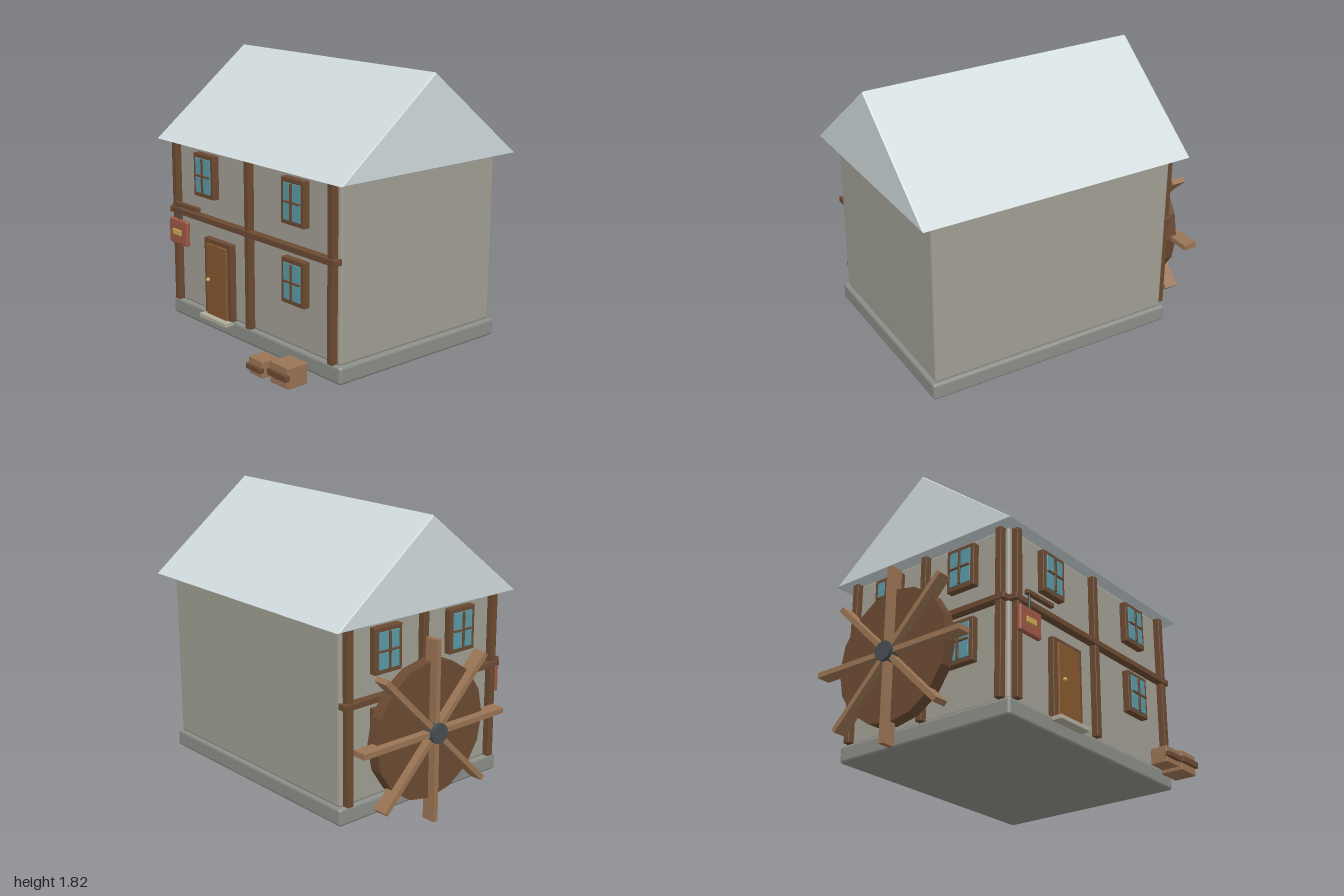
import * as THREE from 'three';
import { RoundedBoxGeometry } from 'three/addons/geometries/RoundedBoxGeometry.js';

const mat = (color, extra = {}) => {
  const m = new THREE.MeshStandardMaterial({ color, ...extra });
  return m;
};
const stone = mat(0x8a8d87), plaster = mat(0xa09e93), slate = mat(0xd0dadd);
const timber = mat(0x6b4a32), doorWood = mat(0x85572f), glass = mat(0x5a98a5);
const paleWood = mat(0x9a7454), wheelWood = mat(0x6b4a32, { flatShading: true });
const iron = mat(0x484d52), red = mat(0x9c5844), brass = mat(0xc8a850), slab = mat(0xb0ac9c);

function add(parent, name, geometry, material, x = 0, y = 0, z = 0) {
  const mesh = new THREE.Mesh(geometry, material);
  mesh.name = name;
  mesh.position.set(x, y, z);
  parent.add(mesh);
  return mesh;
}

// Box given by its limits on each axis, with an optional rounded edge
function box(parent, name, material, [x0, x1], [y0, y1], [z0, z1], r = 0.004) {
  const size = [x1 - x0, y1 - y0, z1 - z0];
  return add(parent, name, new RoundedBoxGeometry(...size, 2, r), material,
    (x0 + x1) / 2, (y0 + y1) / 2, (z0 + z1) / 2);
}

function group(parent, name, x = 0, y = 0, z = 0) {
  const g = new THREE.Group();
  g.name = name;
  g.position.set(x, y, z);
  parent.add(g);
  return g;
}

// Framed window with a cross of glazing bars, facing +z
function windowUnit(parent, x, y) {
  const g = group(parent, 'window', x, y, 0);
  box(g, 'windowFrame', timber, [-0.104, 0.104], [-0.14, 0.14], [-0.01, 0.045]);
  box(g, 'windowGlass', glass, [-0.077, 0.077], [-0.112, 0.112], [0.03, 0.052], 0.002);
  box(g, 'glazingBar', timber, [-0.007, 0.007], [-0.112, 0.112], [0.04, 0.062], 0.002);
  box(g, 'glazingBar', timber, [-0.077, 0.077], [-0.006, 0.006], [0.04, 0.062], 0.002);
}

// Timber frame on one wall: three posts and a middle rail
function timberFrame(parent, halfWidth) {
  for (const x of [-1, 0, 1]) {
    const c = x * (halfWidth - 0.048);
    box(parent, 'post', timber, [c - 0.022, c + 0.022], [0.175, 1.255], [-0.01, 0.044]);
  }
  box(parent, 'rail', timber, [-halfWidth, halfWidth], [0.773, 0.811], [-0.01, 0.052]);
}

function waterWheel(parent) {
  const g = group(parent, 'waterWheel', 0, 0.568, -0.208);
  const disc = add(g, 'wheelDisc', new THREE.CylinderGeometry(0.428, 0.428, 0.08, 16), wheelWood, -0.885);
  disc.rotation.z = Math.PI / 2;
  const hub = add(g, 'hub', new THREE.CylinderGeometry(0.063, 0.063, 0.26, 16), iron, -0.87);
  hub.rotation.z = Math.PI / 2;
  for (let i = 0; i < 4; i++) {
    const bar = add(g, 'paddle', new THREE.BoxGeometry(0.092, 1.132, 0.034), paleWood, -0.931);
    bar.rotation.x = i * Math.PI / 4;
  }
}

function crate(parent, [x0, x1], top, [z0, z1], [b0, b1]) {
  const g = group(parent, 'crate');
  box(g, 'crateBody', paleWood, [x0, x1], [0.06, top], [z0, z1], 0.006);
  box(g, 'crateBand', timber, [x0 - 0.005, x1 + 0.005], [b0, b1], [z1 - 0.01, z1 + 0.02]);
}

export function createModel() {
  const house = new THREE.Group();
  house.name = 'mill';

  // Main volumes
  box(house, 'foundation', stone, [-0.76, 0.93], [0.06, 0.172], [-0.77, 0.545], 0.02);
  box(house, 'walls', plaster, [-0.735, 0.905], [0.165, 1.258], [-0.75, 0.52], 0.02);

  // Gabled roof, a bevelled triangular prism running along x
  const gable = new THREE.Shape([
    new THREE.Vector2(-0.716, 1.255), new THREE.Vector2(0.716, 1.255), new THREE.Vector2(0, 1.817),
  ]);
  const bevel = 0.008;
  const roof = new THREE.ExtrudeGeometry(gable, {
    depth: 1.815 - 2 * bevel, bevelThickness: bevel, bevelSize: bevel, bevelOffset: -bevel, bevelSegments: 2,
  });
  add(house, 'roof', roof, slate, -0.82 + bevel, 0, -0.115).rotation.y = Math.PI / 2;

  // Front wall
  const front = group(house, 'frontWall', 0.085, 0, 0.52);
  timberFrame(front, 0.82);
  windowUnit(front, -0.442, 1.075);
  windowUnit(front, 0.442, 1.075);
  windowUnit(front, 0.442, 0.59);

  // Wheel-side wall
  const side = group(house, 'sideWall', -0.735, 0, -0.115);
  side.rotation.y = -Math.PI / 2;
  timberFrame(side, 0.635);
  for (const x of [-0.3, 0.3]) for (const y of [1.075, 0.59]) windowUnit(side, x, y);

  // Door with step and knob
  const door = group(house, 'door');
  box(door, 'doorFrame', timber, [-0.368, -0.086], [0.165, 0.675], [0.51, 0.56]);
  box(door, 'doorPanel', doorWood, [-0.333, -0.121], [0.168, 0.645], [0.53, 0.573]);
  box(door, 'doorStep', slab, [-0.368, -0.086], [0.143, 0.172], [0.52, 0.61]);
  add(door, 'doorKnob', new THREE.SphereGeometry(0.014, 12, 8), brass, -0.296, 0.41, 0.588);

  // Hanging sign
  const sign = group(house, 'sign');
  box(sign, 'signArm', timber, [-0.648, -0.398], [0.833, 0.861], [0.562, 0.592]);
  add(sign, 'signRod', new THREE.CylinderGeometry(0.006, 0.006, 0.1, 8), iron, -0.62, 0.785, 0.577);
  box(sign, 'signBoard', red, [-0.72, -0.52], [0.574, 0.742], [0.56, 0.592], 0.012);
  box(sign, 'signPlate', brass, [-0.668, -0.578], [0.638, 0.676], [0.58, 0.603]);

  waterWheel(house);

  // Crates in front
  crate(house, [0.425, 0.553], 0.165, [0.7, 0.815], [0.093, 0.126]);
  crate(house, [0.612, 0.775], 0.19, [0.657, 0.805], [0.108, 0.148]);

  return house;
}
